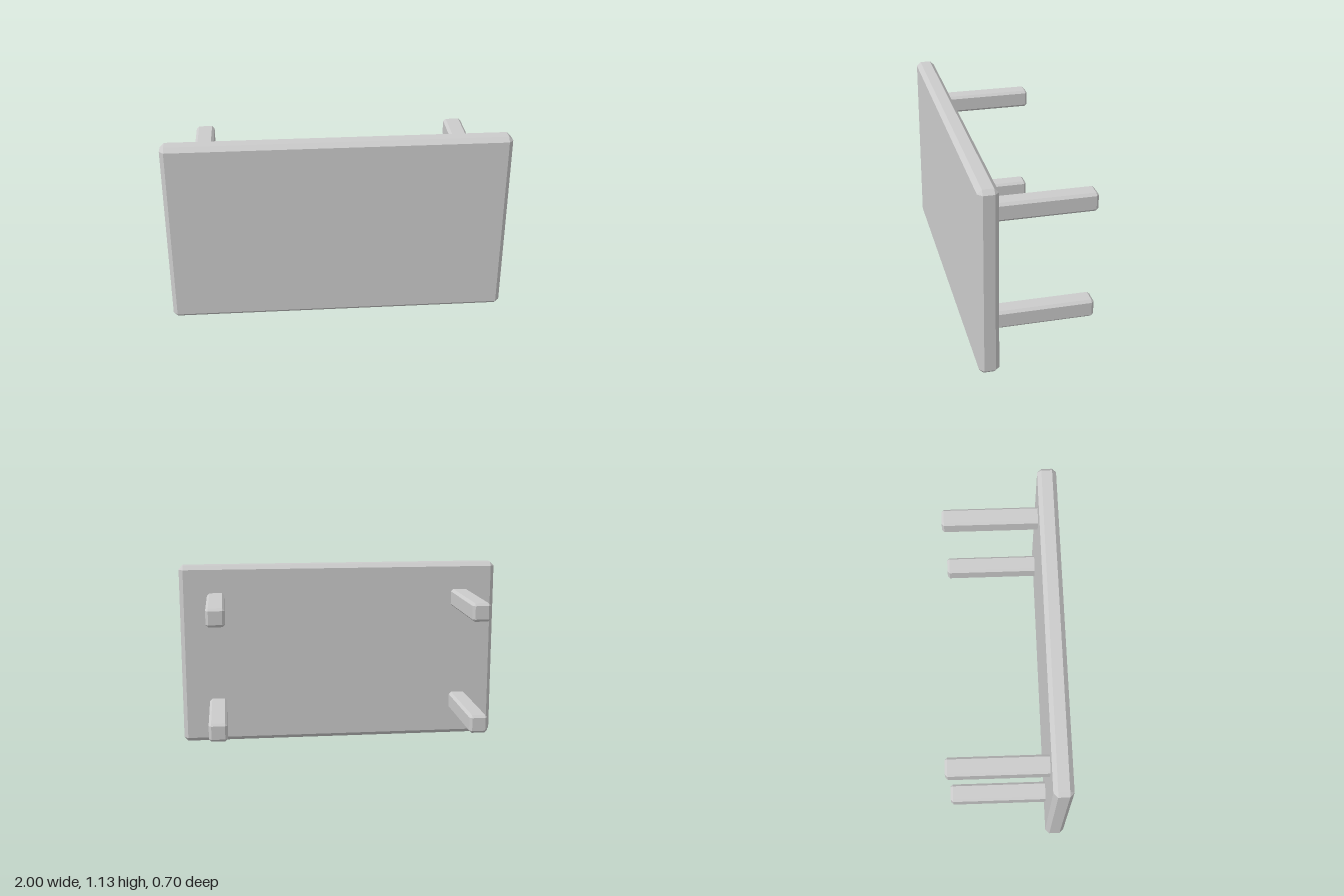
import * as THREE from 'three';
import { ConvexGeometry } from 'three/addons/geometries/ConvexGeometry.js';

// Box with every edge chamfered by c and a small triangle at each corner
function chamferedBox(w, h, d, c) {
  const points = [];
  for (const sx of [-1, 1]) for (const sy of [-1, 1]) for (const sz of [-1, 1]) {
    const x = w / 2, y = h / 2, z = d / 2;
    points.push(
      new THREE.Vector3(sx * x, sy * (y - c), sz * (z - c)),
      new THREE.Vector3(sx * (x - c), sy * y, sz * (z - c)),
      new THREE.Vector3(sx * (x - c), sy * (y - c), sz * z)
    );
  }
  return new ConvexGeometry(points);
}

export function createModel() {
  const group = new THREE.Group();
  group.name = 'table';
  const grey = new THREE.MeshStandardMaterial({ color: 0xcccccc, flatShading: true });
  grey.name = 'light grey';

  // Table top, standing on its long edge
  const top = new THREE.Mesh(chamferedBox(2, 1.13, 0.114, 0.025), grey);
  top.name = 'tableTop';
  top.position.set(0, 0.565, 0.293);
  group.add(top);

  // Four legs pointing backwards, their roots sunk into the top
  const legGeometry = chamferedBox(0.11, 0.11, 0.61, 0.015);
  for (const sx of [-1, 1]) for (const sy of [-1, 1]) {
    const leg = new THREE.Mesh(legGeometry, grey);
    leg.name = (sy > 0 ? 'upper' : 'lower') + (sx > 0 ? 'Left' : 'Right') + 'Leg';
    leg.position.set(sx * 0.775, 0.565 + sy * 0.339, -0.045);
    group.add(leg);
  }
  return group;
}
